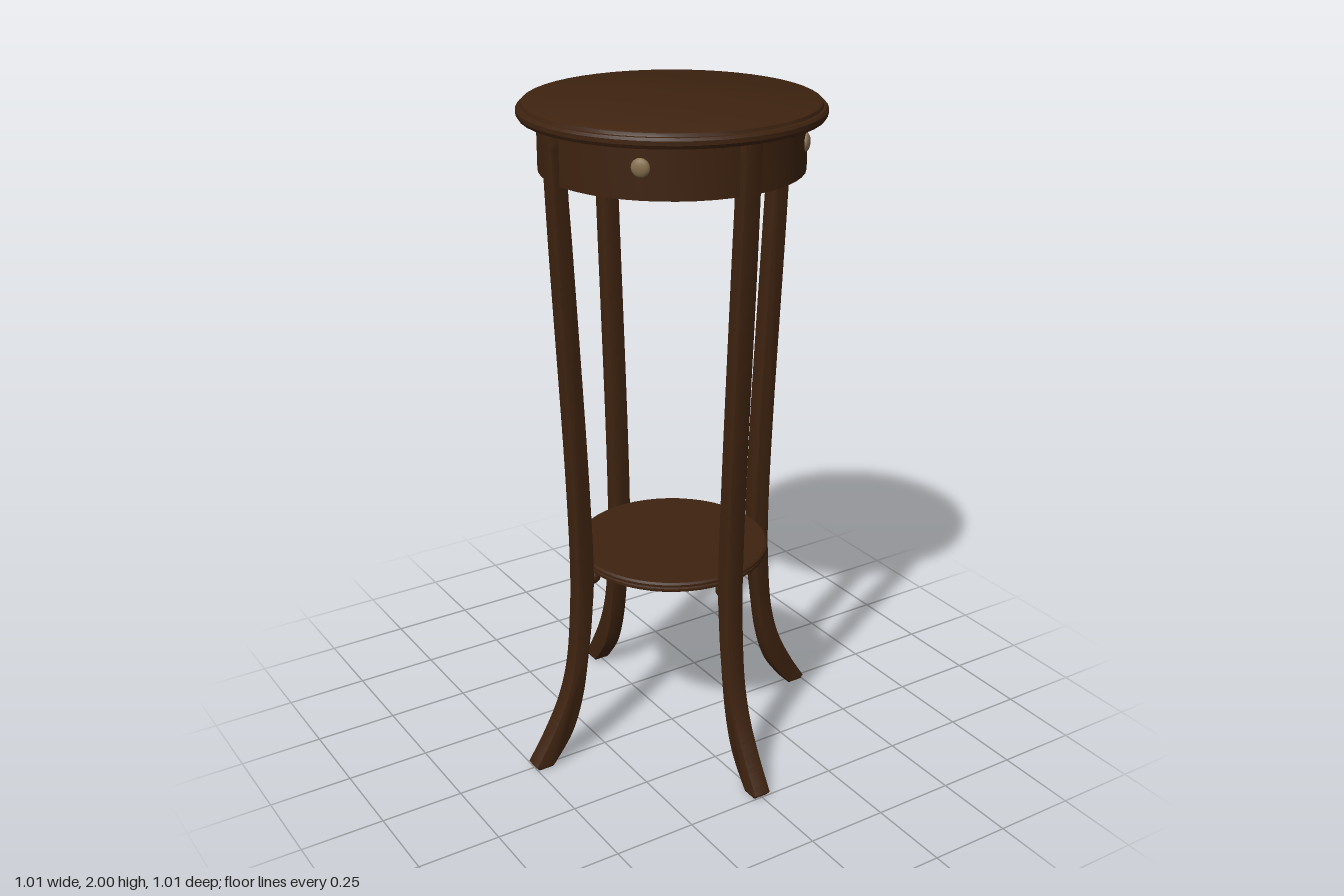
import * as THREE from 'three';
import { toCreasedNormals } from 'three/addons/utils/BufferGeometryUtils.js';

const wood = new THREE.MeshStandardMaterial({ color: 0x3e2310 });
wood.name = 'dark wood';
const brass = new THREE.MeshStandardMaterial({ color: 0x86704f });
brass.name = 'aged brass';

const vec = (pts) => pts.map(([x, y]) => new THREE.Vector2(x, y));

function part(name, geometry, material) {
  const mesh = new THREE.Mesh(geometry, material);
  mesh.name = name;
  return mesh;
}

// Turned disc: profile listed from the bottom centre up to the top centre
function turned(name, profile) {
  return part(name, toCreasedNormals(new THREE.LatheGeometry(vec(profile), 48), 0.5), wood);
}

// Sabre leg outline, swept along x, with softened edges
function legGeometry() {
  const width = 0.055, bevel = 0.006;
  const outer = [[0.505, 0.012], [0.45, 0.1], [0.4, 0.2], [0.368, 0.31], [0.352, 0.45],
    [0.345, 0.65], [0.355, 1.0], [0.384, 1.6], [0.398, 1.96]];
  const inner = [[0.344, 1.96], [0.344, 1.8], [0.333, 1.6], [0.302, 1.0], [0.29, 0.65],
    [0.297, 0.5], [0.31, 0.38], [0.335, 0.22], [0.375, 0.1], [0.44, 0.008]];
  const shape = new THREE.Shape();
  shape.moveTo(...outer[0]);
  shape.splineThru(vec(outer.slice(1)));
  shape.lineTo(...inner[0]);
  shape.splineThru(vec(inner.slice(1)));
  shape.lineTo(0.448, 0);
  shape.lineTo(0.495, 0);
  shape.closePath();
  const geo = new THREE.ExtrudeGeometry(shape, {
    depth: width - 2 * bevel, curveSegments: 24,
    bevelSize: bevel, bevelThickness: bevel, bevelOffset: -bevel, bevelSegments: 2,
  });
  geo.translate(0, 0, bevel - width / 2);
  return toCreasedNormals(geo, 0.6);
}

export function createModel() {
  const table = new THREE.Group();
  table.name = 'plantStand';

  // Round top with a moulded edge
  table.add(turned('tableTop', [[0, 1.955], [0.41, 1.955], [0.424, 1.958], [0.43, 1.968],
    [0.43, 1.98], [0.424, 1.987], [0.417, 1.988], [0.414, 1.997], [0.408, 2], [0, 2]]));

  // Apron drum under the top
  table.add(turned('apron', [[0, 1.81], [0.374, 1.81], [0.374, 1.957], [0, 1.957]]));

  // Lower shelf with a grooved rim
  table.add(turned('shelf', [[0, 0.617], [0.28, 0.617], [0.288, 0.622], [0.288, 0.63],
    [0.281, 0.634], [0.292, 0.638], [0.292, 0.645], [0.286, 0.65], [0, 0.65]]));

  // Four legs, each with a bead supporting the shelf, and a knob between legs
  const leg = legGeometry();
  const bead = new THREE.SphereGeometry(0.024, 16, 12);
  const knob = new THREE.SphereGeometry(0.026, 12, 8);
  for (let i = 0; i < 4; i++) {
    const side = new THREE.Group();
    side.name = 'legAssembly' + (i + 1);
    side.rotation.y = (i * Math.PI) / 2;

    const support = part('shelfBead', bead, wood);
    support.position.set(0.281, 0.602, 0);

    const button = part('apronKnob', knob, brass);
    button.position.set(0.374 * Math.SQRT1_2, 1.897, 0.374 * Math.SQRT1_2);
    button.rotation.y = Math.PI / 4;
    button.scale.z = 0.45;

    side.add(part('leg', leg, wood), support, button);
    table.add(side);
  }
  return table;
}
